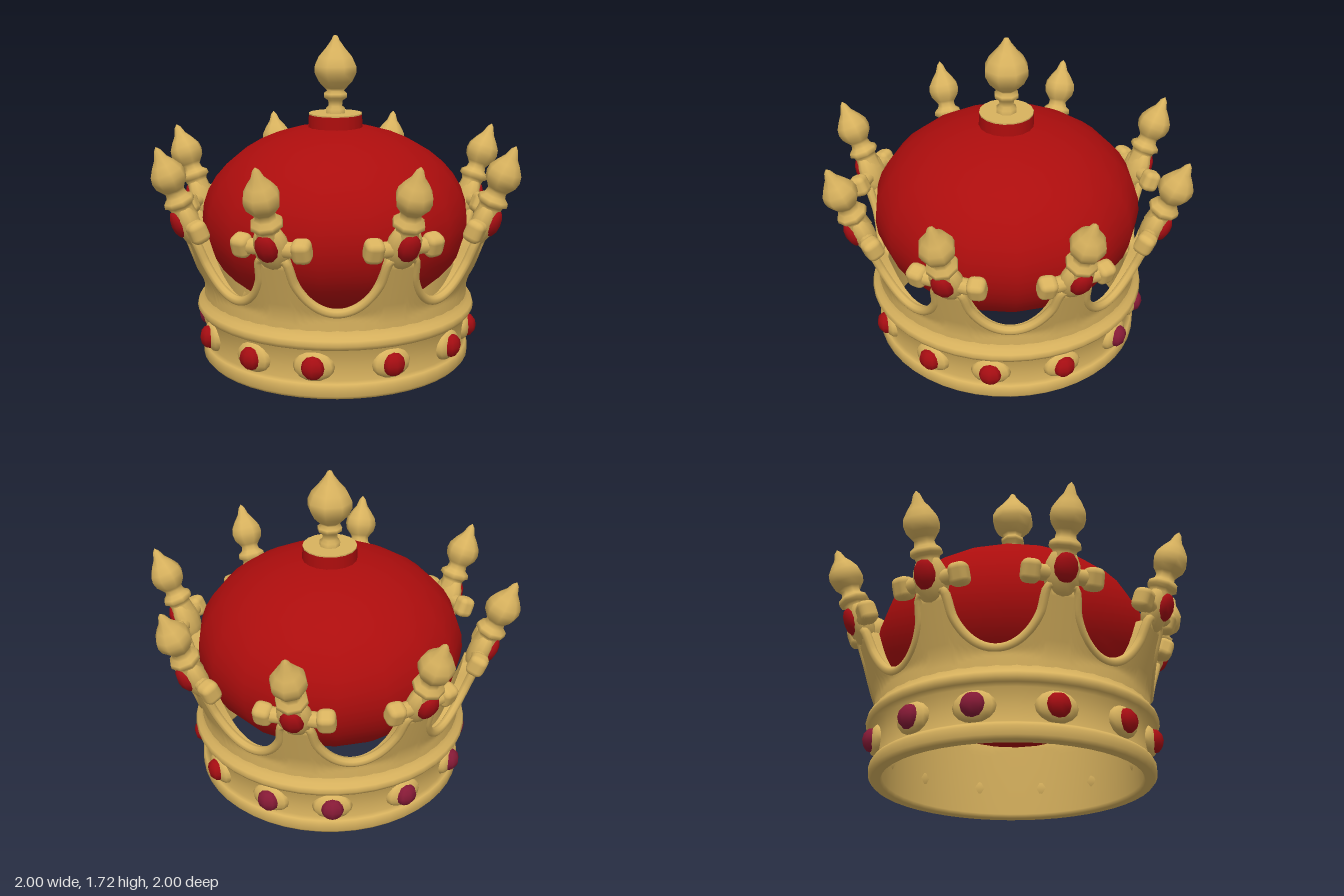
import * as THREE from 'three';
import { RoundedBoxGeometry } from 'three/addons/geometries/RoundedBoxGeometry.js';

const POINTS = 8;
const TILT = THREE.MathUtils.degToRad(21);

const material = (name, color) => {
  const m = new THREE.MeshStandardMaterial({ color });
  m.name = name;
  return m;
};

function lathe(points, sides) {
  return new THREE.LatheGeometry(points.map(([r, y]) => new THREE.Vector2(r, y)), sides);
}

// Height of the scalloped edge at an angle: a round valley between two points
function edgeHeight(angle) {
  const step = (Math.PI * 2) / POINTS;
  const fromPoint = Math.abs(angle - Math.round(angle / step) * step) * 0.74;
  const t = THREE.MathUtils.clamp((0.29 - fromPoint) / 0.225, 0, 1);
  return 0.44 + 0.28 * (1 - Math.sqrt(1 - t * t));
}

// The wall leans outwards above y = 0.42
const outerRadius = (y) => 0.712 + Math.max(0, y - 0.42) * 0.36;
const innerRadius = (y) => 0.655 + Math.max(0, y - 0.42) * 0.25;

// Scalloped wall: one thin upright section per angle, joined in a ring
function wallGeometry() {
  const around = 320, rows = 9, base = 0.33;
  const section = rows * 2;
  const positions = [], indices = [];
  for (let i = 0; i < around; i++) {
    const angle = (i / around) * Math.PI * 2;
    const top = edgeHeight(angle);
    for (let j = 0; j < section; j++) {
      const outside = j < rows;
      const k = (outside ? j : section - 1 - j) / (rows - 1);
      const y = THREE.MathUtils.lerp(base, top, k);
      const r = outside ? outerRadius(y) : innerRadius(y);
      positions.push(Math.sin(angle) * r, y, Math.cos(angle) * r);
    }
    const next = (i + 1) % around;
    for (let j = 0; j < section - 1; j++) {
      const a = i * section + j, b = next * section + j;
      indices.push(a, b, a + 1, b, b + 1, a + 1);
    }
  }
  const geometry = new THREE.BufferGeometry();
  geometry.setAttribute('position', new THREE.Float32BufferAttribute(positions, 3));
  geometry.setIndex(indices);
  geometry.computeVertexNormals();
  return geometry;
}

// Rolled rim following the scalloped edge
function rimGeometry() {
  const path = [];
  for (let i = 0; i < 160; i++) {
    const angle = (i / 160) * Math.PI * 2;
    const y = edgeHeight(angle);
    const r = outerRadius(y) - 0.015;
    path.push(new THREE.Vector3(Math.sin(angle) * r, y, Math.cos(angle) * r));
  }
  return new THREE.TubeGeometry(new THREE.CatmullRomCurve3(path, true), 400, 0.024, 8, true);
}

export function createModel() {
  const gold = material('gold', 0xd8b25e);
  const red = material('red velvet', 0xac0d0d);
  const ruby = material('ruby', 0xa50d12);
  const garnet = material('garnet', 0x861a36);

  const crown = new THREE.Group();
  crown.name = 'crown';
  const add = (parent, name, geometry, mat, x = 0, y = 0, z = 0) => {
    const mesh = new THREE.Mesh(geometry, mat);
    mesh.name = name;
    mesh.position.set(x, y, z);
    parent.add(mesh);
    return mesh;
  };

  // Base band with a foot moulding and an upper ring
  add(crown, 'baseBand', lathe([
    [0.655, 0.36], [0.655, 0.02], [0.665, 0], [0.71, 0], [0.725, 0.018], [0.725, 0.06],
    [0.715, 0.078], [0.697, 0.09], [0.703, 0.16], [0.708, 0.25], [0.738, 0.262],
    [0.752, 0.285], [0.745, 0.31], [0.722, 0.325], [0.71, 0.36],
  ], 48), gold);
  add(crown, 'scallopedWall', wallGeometry(), gold);
  add(crown, 'scallopRim', rimGeometry(), gold);

  // Velvet cap with its neck and top plate
  add(crown, 'cap', new THREE.SphereGeometry(1, 18, 20), red, 0, 0.75, 0).scale.set(0.715, 0.5, 0.715);
  add(crown, 'capNeck', new THREE.CylinderGeometry(0.142, 0.146, 0.11, 18), red, 0, 1.25, 0);
  add(crown, 'capPlate', new THREE.CylinderGeometry(0.142, 0.142, 0.008, 18), gold, 0, 1.308, 0);

  // Large finial on top
  add(crown, 'topFinial', lathe([
    [0.055, 1.305], [0.055, 1.335], [0.038, 1.35], [0.042, 1.38], [0.065, 1.395], [0.065, 1.415],
    [0.045, 1.43], [0.06, 1.445], [0.095, 1.48], [0.117, 1.525], [0.117, 1.56], [0.095, 1.605],
    [0.055, 1.65], [0.025, 1.69], [0.012, 1.715], [0, 1.72],
  ], 8), gold);

  // Gems in raised settings around the band
  const gemShape = new THREE.SphereGeometry(1, 8, 6);
  const settingShape = new THREE.SphereGeometry(1, 12, 8);
  const quarter = [0, 32, 59];
  const gemAngles = [...quarter, 90, ...quarter.slice(1).map((d) => 180 - d), 180];
  gemAngles.push(...gemAngles.slice(1, -1).map((d) => -d));
  for (const degrees of gemAngles) {
    const mount = new THREE.Group();
    mount.name = 'bandGem';
    mount.rotation.y = THREE.MathUtils.degToRad(degrees);
    add(mount, 'setting', settingShape, gold, 0, 0.165, 0.695).scale.set(0.105, 0.078, 0.045);
    const stone = Math.abs(degrees) > 91 ? garnet : ruby;
    add(mount, 'gem', gemShape, stone, 0, 0.165, 0.725).scale.set(0.062, 0.06, 0.046);
    crown.add(mount);
  }

  // Eight crosses leaning outwards, each with a gem and a small finial
  const lobeShape = new RoundedBoxGeometry(0.095, 0.115, 0.095, 2, 0.033);
  const finialShape = lathe([
    [0.065, 0.03], [0.058, 0.1], [0.064, 0.118], [0.082, 0.13], [0.078, 0.152], [0.055, 0.17],
    [0.05, 0.195], [0.06, 0.21], [0.083, 0.24], [0.091, 0.275], [0.085, 0.31], [0.06, 0.35],
    [0.033, 0.385], [0.018, 0.425], [0, 0.445],
  ], 8);
  for (let i = 0; i < POINTS; i++) {
    const arm = new THREE.Group();
    arm.name = 'point';
    arm.rotation.y = (i / POINTS) * Math.PI * 2;
    const cross = new THREE.Group();
    cross.name = 'cross';
    cross.position.set(0, 0.78, 0.81);
    cross.rotation.x = TILT;
    arm.add(cross);
    add(cross, 'crossHead', settingShape, gold, 0, 0.005, 0).scale.set(0.092, 0.13, 0.062);
    add(cross, 'crossBar', new THREE.CylinderGeometry(0.04, 0.04, 0.24, 10), gold).rotation.z = Math.PI / 2;
    for (const side of [-1, 1]) {
      add(cross, 'crossLobe', lobeShape, gold, side * 0.155, 0, 0).rotation.y = side * 0.15;
    }
    add(cross, 'smallFinial', finialShape, gold);
    add(cross, 'crossGem', gemShape, ruby, 0, 0.03, 0.05).scale.set(0.06, 0.075, 0.037);
    crown.add(arm);
  }
  return crown;
}
